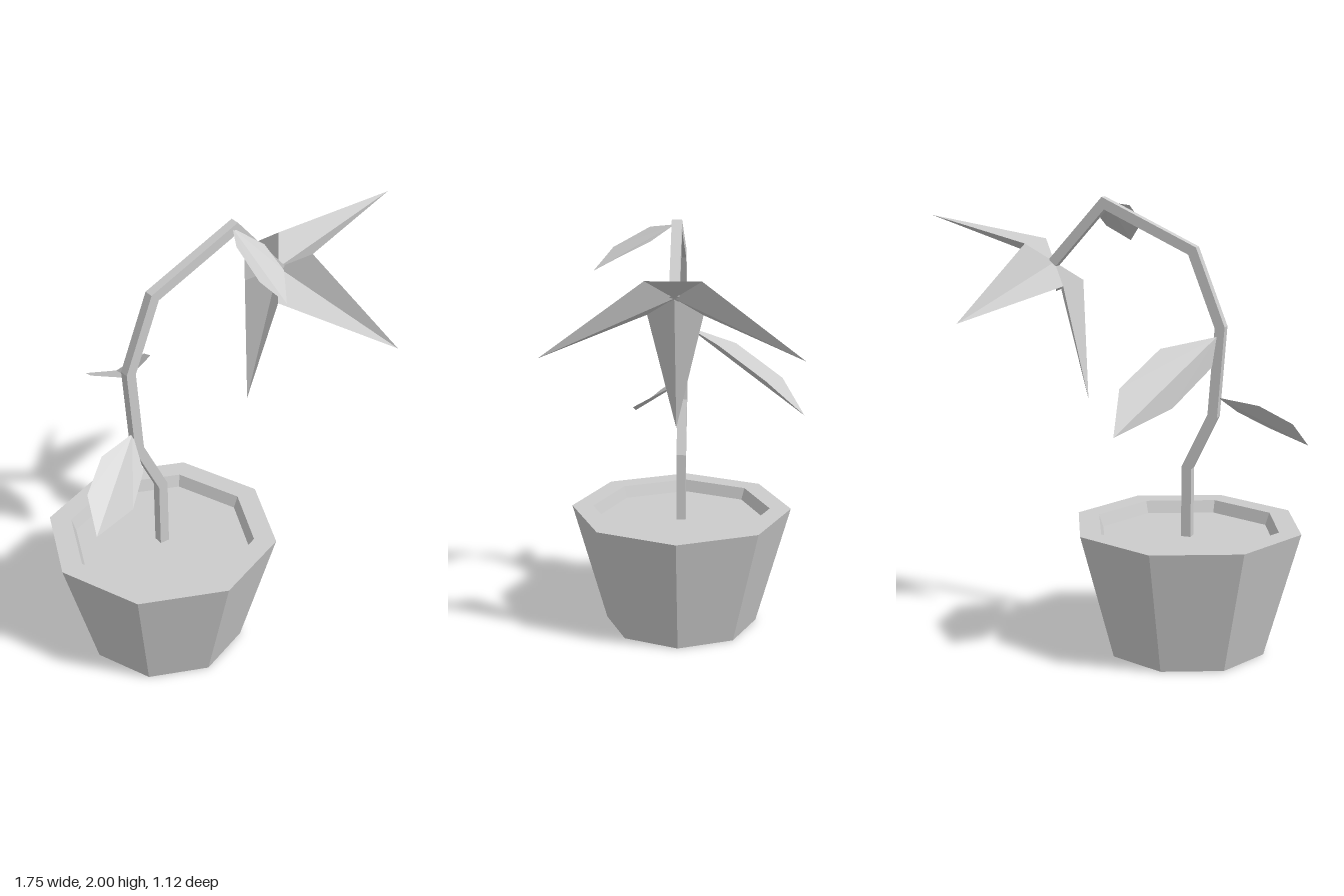
import * as THREE from 'three';

const Z = 0.01; // plane the stem and pot are centred on

function material(side = THREE.FrontSide) {
  return new THREE.MeshStandardMaterial({ color: 0xcccccc, flatShading: true, side });
}

// Indexed geometry from a list of [x, y, z] points
function faceted(points, index) {
  const g = new THREE.BufferGeometry();
  g.setAttribute('position', new THREE.Float32BufferAttribute(points.flat(), 3));
  g.setIndex(index);
  g.computeVertexNormals();
  return g;
}

function named(name, geometry, side) {
  const mesh = new THREE.Mesh(geometry, material(side));
  mesh.name = name;
  return mesh;
}

// Eight-sided turned shape
function turned(profile) {
  const g = new THREE.LatheGeometry(profile.map(([r, y]) => new THREE.Vector2(r, y)), 8);
  return g.translate(-0.36, 0, Z);
}

// Square bar with mitred bends, following a path in the x-y plane
function stemGeometry(path, half) {
  const pts = path.map(([x, y]) => new THREE.Vector2(x, y));
  const points = [], index = [];
  const last = pts.length - 1;
  pts.forEach((p, i) => {
    const a = pts[Math.max(i - 1, 0)], b = pts[Math.min(i + 1, last)];
    const before = (i > 0 ? p.clone().sub(a) : b.clone().sub(p)).normalize();
    const after = (i < last ? b.clone().sub(p) : before.clone()).normalize();
    const t = before.clone().add(after).normalize();
    const m = half / t.dot(before); // mitre length
    const nx = -t.y * m, ny = t.x * m;
    for (const [s, d] of [[-1, 1], [-1, -1], [1, -1], [1, 1]]) {
      points.push([p.x + s * nx, p.y + s * ny, Z + d * half]);
    }
    if (i < last) {
      for (let k = 0; k < 4; k++) {
        const q = i * 4 + k, r = i * 4 + (k + 1) % 4;
        index.push(q, r, r + 4, q, r + 4, q + 4);
      }
    }
  });
  const e = last * 4;
  index.push(0, 2, 1, 0, 3, 2, e, e + 1, e + 2, e, e + 2, e + 3);
  return faceted(points, index);
}

// Leaf: base, two points on one edge, tip, two points on the other edge; folded on the midrib
function leafGeometry(outline) {
  return faceted(outline, [0, 2, 1, 0, 3, 2, 0, 4, 3, 0, 5, 4]);
}

export function createModel() {
  const plant = new THREE.Group();
  plant.name = 'pottedFlower';

  // Pot with a flat rim, and the soil inside it
  plant.add(named('pot', turned([[0, 0], [0.36, 0], [0.52, 0.57], [0.42, 0.57], [0.40, 0.515]])));
  plant.add(named('soil', turned([[0.40, 0.515], [0, 0.515]])));

  // Bent stem
  plant.add(named('stem', stemGeometry([
    [-0.36, 0.5], [-0.36, 0.83], [-0.475, 1.07], [-0.503, 1.46],
    [-0.375, 1.785], [0.033, 1.977], [0.272, 1.708],
  ], 0.022)));

  // Leaves
  const leaves = {
    lowerLeaf: [[-0.495, 1.15, Z], [-0.67, 1.12, 0.04], [-0.8, 1.03, 0.13],
      [-0.84, 0.91, 0.26], [-0.66, 0.975, 0.26], [-0.54, 1.06, 0.16]],
    backLeaf: [[-0.49, 1.42, -0.01], [-0.285, 1.38, -0.16], [-0.18, 1.24, -0.38],
      [-0.22, 1.07, -0.56], [-0.44, 1.19, -0.46], [-0.54, 1.33, -0.24]],
    topLeaf: [[0.02, 1.98, 0.02], [-0.04, 1.96, 0.13], [-0.04, 1.87, 0.29],
      [0.04, 1.78, 0.37], [0.115, 1.855, 0.25], [0.11, 1.92, 0.12]],
  };
  for (const [name, outline] of Object.entries(leaves)) {
    plant.add(named(name, leafGeometry(outline), THREE.DoubleSide));
  }

  // Flower: four pointed petals swept forward, sharing the notches between them
  const flower = new THREE.Group();
  flower.name = 'flower';
  const heart = [0.27, 1.71, Z];
  const tips = [[0.87, 1.9, Z], [0.49, 1.5, Z + 0.55], [0.11, 1.1, Z], [0.49, 1.5, Z - 0.55]];
  const notches = [[0.36, 1.8, Z + 0.12], [0.18, 1.62, Z + 0.12],
    [0.18, 1.62, Z - 0.12], [0.36, 1.8, Z - 0.12]];
  tips.forEach((tip, i) => {
    const geometry = faceted([heart, notches[(i + 3) % 4], tip, notches[i]], [0, 2, 1, 0, 3, 2]);
    flower.add(named('petal' + (i + 1), geometry, THREE.DoubleSide));
  });
  plant.add(flower);

  return plant;
}
